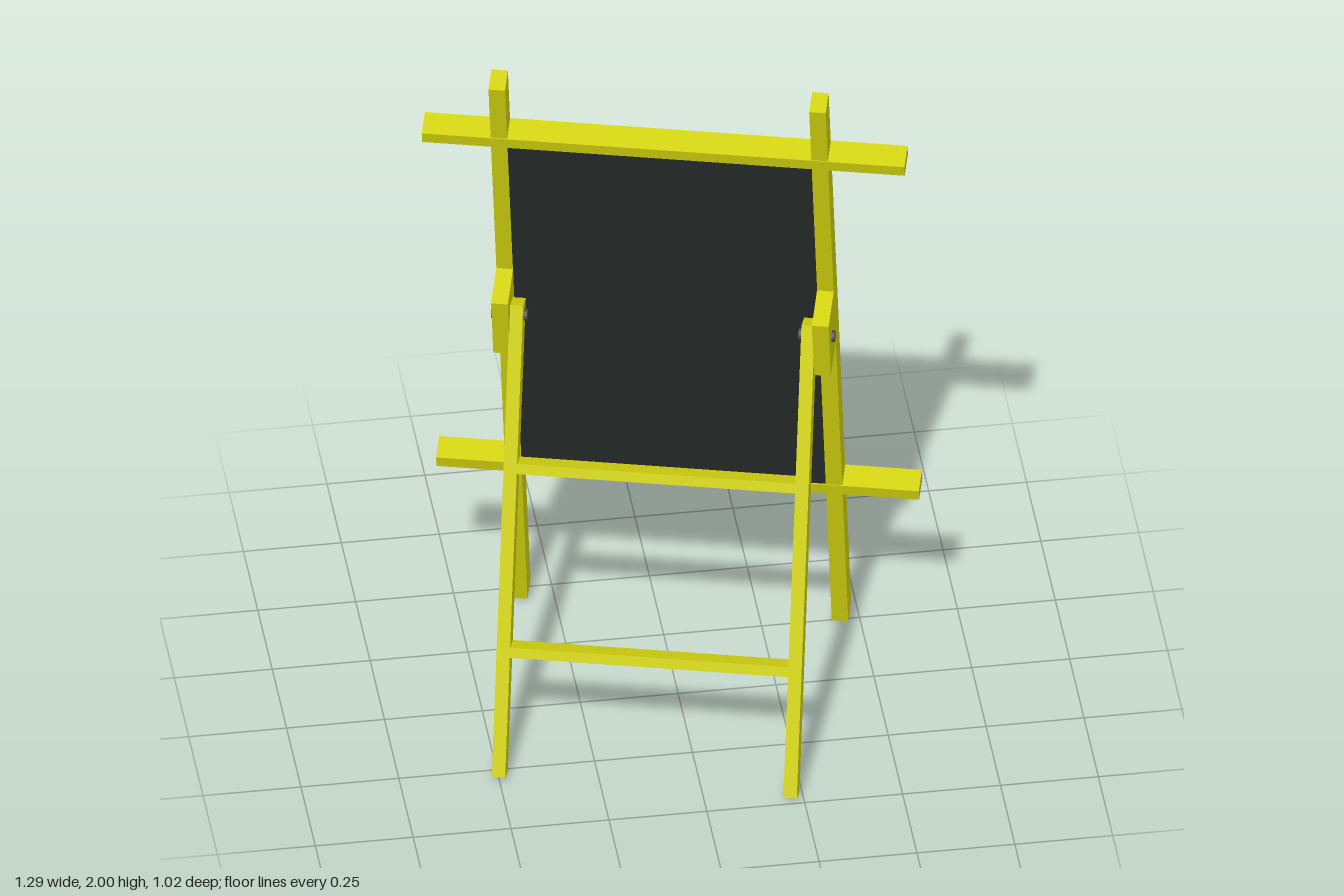
import * as THREE from 'three';

const wood = new THREE.MeshStandardMaterial({ color: 0xd2d20f });
const slate = new THREE.MeshStandardMaterial({ color: 0x272c2b });
const metal = new THREE.MeshStandardMaterial({ color: 0x4a4a4a });

const MID = -0.036;      // centre line between the poles
const POLE_X = 0.408;    // pole offset from the centre line
const LEG_X = 0.371;     // leg offset, just inside the poles
const PLATE = { y: 0.205, z: 0.098 }; // pivot position in the frame

function box(parent, name, material, size, position) {
  const mesh = new THREE.Mesh(new THREE.BoxGeometry(...size), material);
  mesh.name = name;
  mesh.position.set(...position);
  parent.add(mesh);
  return mesh;
}

// Leaning frame: poles, cross bars, writing board and hinge plates
function createFrame() {
  const frame = new THREE.Group();
  frame.name = 'frame';
  for (const side of [-1, 1]) {
    const label = side > 0 ? 'left' : 'right';
    const x = MID + side * POLE_X;
    box(frame, label + 'Pole', wood, [0.042, 2.036, 0.066], [x, 0, 0]);
    box(frame, label + 'HingePlate', wood, [0.0425, 0.197, 0.13], [x, PLATE.y, 0.084]);
    // Bolt through the plate and the leg
    const bolt = new THREE.Mesh(new THREE.CylinderGeometry(0.015, 0.015, 0.092, 16), metal);
    bolt.name = label + 'Bolt';
    bolt.rotation.z = Math.PI / 2;
    bolt.position.set(MID + side * 0.391, PLATE.y, PLATE.z);
    frame.add(bolt);
  }
  box(frame, 'topBar', wood, [1.228, 0.034, 0.07], [-0.026, 0.8085, 0]);
  box(frame, 'bottomBar', wood, [1.228, 0.034, 0.07], [-0.026, -0.49, 0]);
  box(frame, 'board', slate, [0.776, 1.27, 0.01], [MID, 0.159, 0.027]);
  frame.position.set(0, 1.0025, -0.1285);
  frame.rotation.x = THREE.MathUtils.degToRad(14);
  return frame;
}

// Hinged support: two legs joined by rungs, with the pivot at its origin
function createSupport() {
  const support = new THREE.Group();
  support.name = 'support';
  for (const side of [-1, 1]) {
    box(support, side > 0 ? 'leftLeg' : 'rightLeg', wood,
      [0.034, 1.263, 0.062], [MID + side * LEG_X, -0.5995, 0]);
  }
  for (const [name, y] of [['upperRung', -0.405], ['lowerRung', -0.896]]) {
    box(support, name, wood, [2 * LEG_X, 0.027, 0.06], [MID, y, 0]);
  }
  support.position.set(0, 1.18, 0.017);
  support.rotation.x = THREE.MathUtils.degToRad(-18.1);
  return support;
}

export function createModel() {
  const model = new THREE.Group();
  model.name = 'easel';
  model.add(createFrame(), createSupport());
  // The whole easel stands turned a little
  model.rotation.y = THREE.MathUtils.degToRad(-15);
  const root = new THREE.Group();
  root.name = 'easelRoot';
  root.add(model);
  return root;
}
